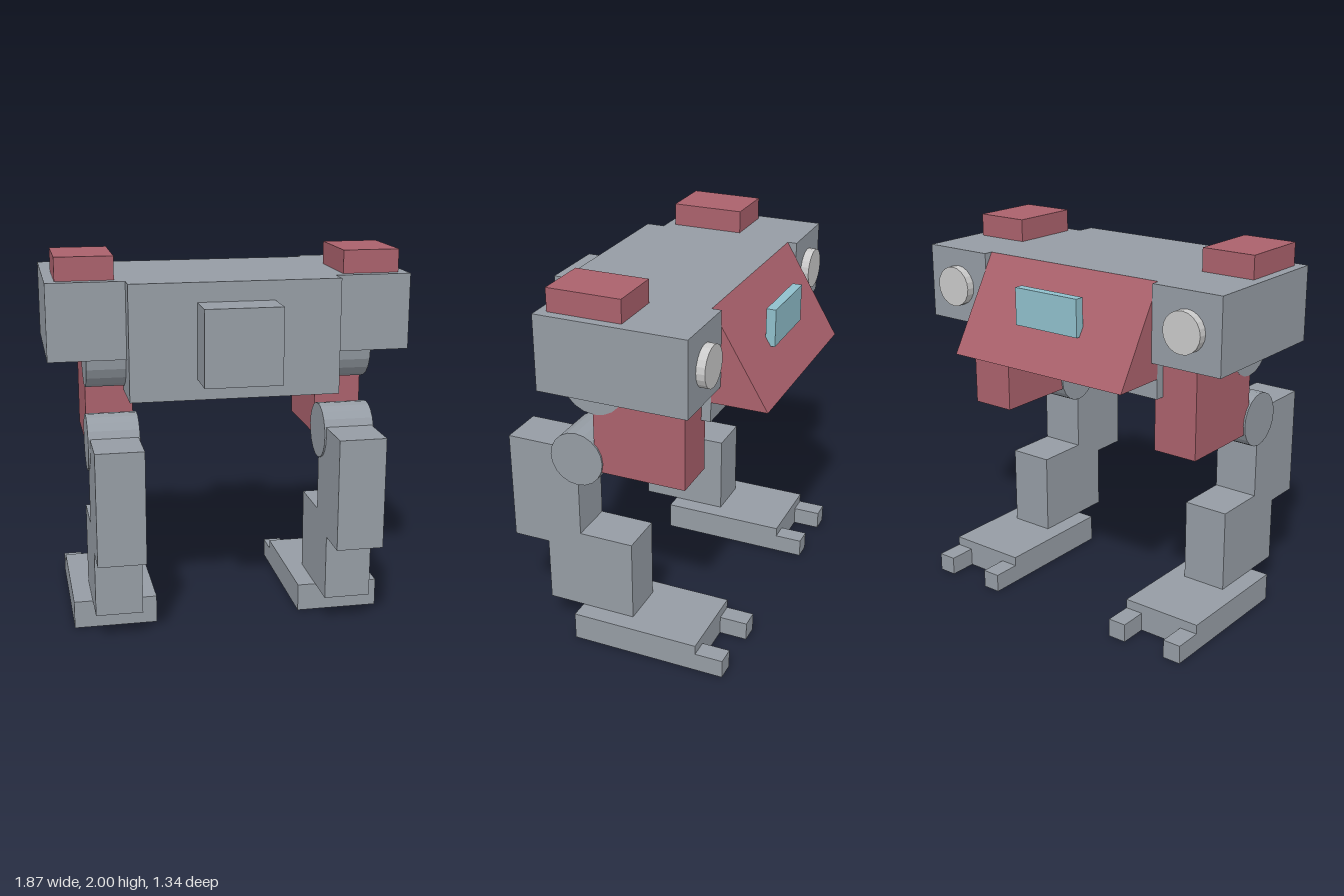
import * as THREE from 'three';

const mat = (name, color) => {
  const m = new THREE.MeshStandardMaterial({ color });
  m.name = name;
  return m;
};

export function createModel() {
  const grey = mat('armour grey', 0x959ca4);
  const red = mat('dull red', 0xaa616c);
  const cyan = mat('visor blue', 0x90c0cc);
  const pale = mat('lamp grey', 0xcacaca);

  const add = (parent, name, geometry, material) => {
    const mesh = new THREE.Mesh(geometry, material);
    mesh.name = name;
    parent.add(mesh);
    return mesh;
  };

  // Box given by its extents along each axis
  const box = (parent, name, material, [x0, x1], [y0, y1], [z0, z1]) => {
    const mesh = add(parent, name, new THREE.BoxGeometry(x1 - x0, y1 - y0, z1 - z0), material);
    mesh.position.set((x0 + x1) / 2, (y0 + y1) / 2, (z0 + z1) / 2);
  };

  // Faceted cylinder lying along x or z
  const drum = (parent, name, material, axis, radius, length, position) => {
    const g = new THREE.CylinderGeometry(radius, radius, length, 20).toNonIndexed();
    g.computeVertexNormals();
    if (axis === 'x') g.rotateZ(Math.PI / 2);
    else g.rotateX(Math.PI / 2);
    add(parent, name, g, material).position.set(...position);
  };

  const model = new THREE.Group();
  model.name = 'walker';

  // Hull with the box on its front
  box(model, 'hull', grey, [-0.54, 0.54], [1.285, 1.88], [-0.37, 0.47]);
  box(model, 'frontBox', grey, [-0.197, 0.197], [1.39, 1.78], [0.47, 0.67]);

  // Sloping wedge and visor at the back
  const profile = new THREE.Shape([
    new THREE.Vector2(0.37, 1.39),
    new THREE.Vector2(0.665, 1.39),
    new THREE.Vector2(0.37, 1.88),
  ]);
  const wedge = new THREE.ExtrudeGeometry(profile, { depth: 1.08, bevelEnabled: false });
  wedge.translate(0, 0, -0.54).rotateY(Math.PI / 2);
  add(model, 'wedge', wedge, red);
  box(model, 'visor', cyan, [-0.197, 0.197], [1.585, 1.78], [-0.57, -0.52]);

  for (const side of [1, -1]) {
    const half = new THREE.Group();
    half.name = side > 0 ? 'leftSide' : 'rightSide';
    model.add(half);
    const span = (a, b) => (side > 0 ? [a, b] : [-b, -a]);
    const limb = span(0.493, 0.74);

    // Shoulder pod with its roof block and rear lamp
    box(half, 'shoulder', grey, span(0.54, 0.936), [1.485, 1.88], [-0.42, 0.37]);
    box(half, 'roofBlock', red, span(0.59, 0.885), [1.88, 2], [-0.07, 0.32]);
    drum(half, 'lamp', pale, 'z', 0.107, 0.045, [side * 0.74, 1.682, -0.4425]);

    // Hip, thigh and knee
    drum(half, 'hip', grey, 'x', 0.175, 0.25, [side * 0.617, 1.485, 0.17]);
    box(half, 'thigh', red, limb, [0.99, 1.5], [-0.32, 0.175]);
    drum(half, 'knee', grey, 'x', 0.147, 0.265, [side * 0.617, 1.04, 0.275]);

    // Stepped shin
    box(half, 'upperShin', grey, limb, [0.5, 1.09], [0.275, 0.67]);
    box(half, 'lowerShin', grey, limb, [0.15, 0.595], [-0.02, 0.47]);

    // Foot with two toes
    box(half, 'foot', grey, span(0.395, 0.84), [0, 0.15], [-0.42, 0.275]);
    for (const x of [0.395, 0.74]) {
      box(half, 'toe', grey, span(x, x + 0.1), [0, 0.1], [-0.57, -0.42]);
    }
  }
  return model;
}
